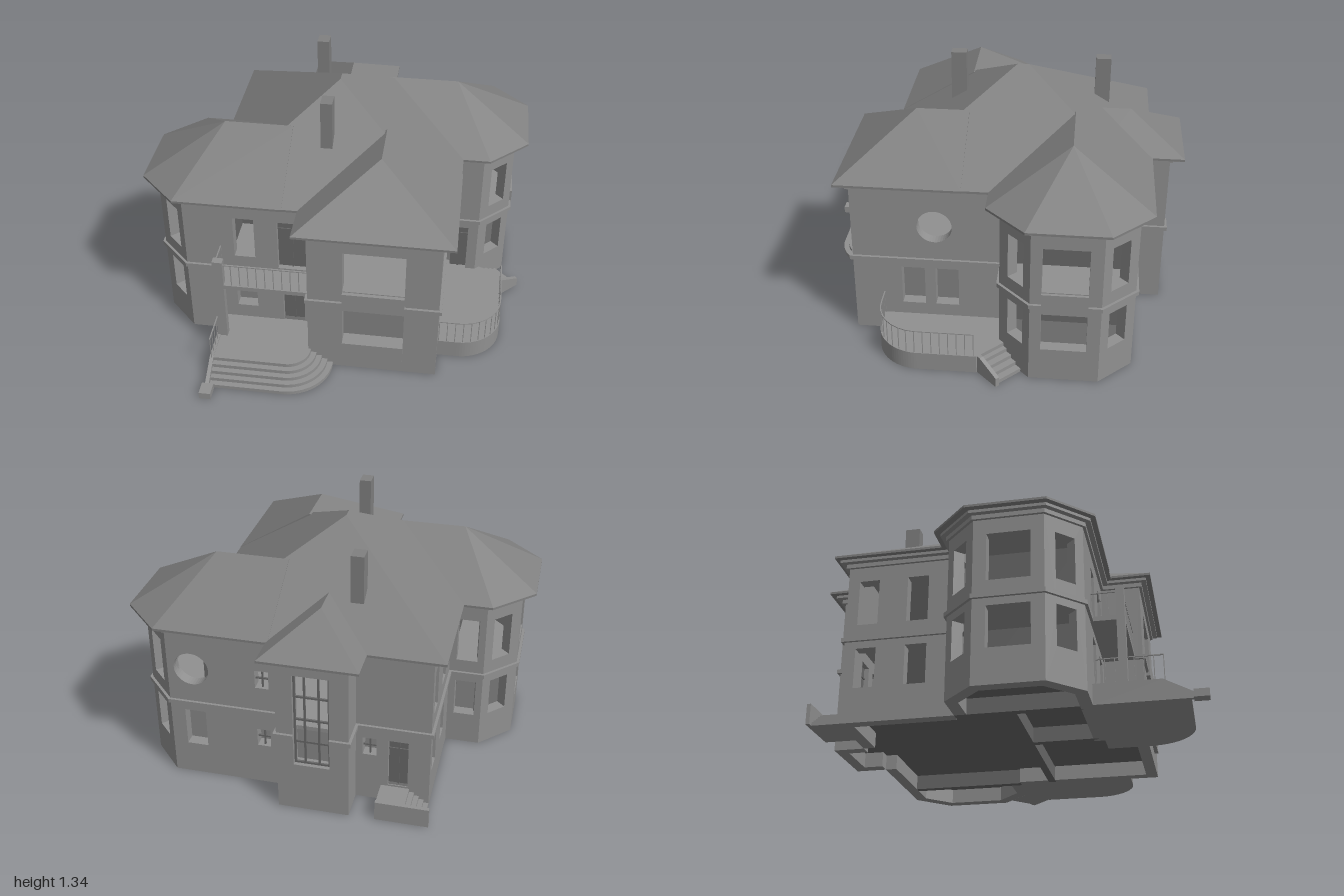
import * as THREE from 'three';
import { ConvexGeometry } from 'three/addons/geometries/ConvexGeometry.js';

const material = color => new THREE.MeshStandardMaterial({ color, flatShading: true, side: THREE.DoubleSide });
const wallMat = material(0x909090), roofMat = material(0x808080), innerMat = material(0x686868);

// Wall outline [x, z], starting at the back right corner and running along the back first
const OUTLINE = [
  [-0.59, -0.77], [-0.215, -0.77], [-0.215, -0.93], [0.145, -0.93], [0.145, -0.77], [0.75, -0.77],
  [0.91, -0.605], [0.91, -0.26], [0.75, -0.1], [0.575, -0.1], [0.575, 0.67], [-0.095, 0.67],
  [-0.095, 0.465], [-0.77, 0.465], [-0.93, 0.305], [-0.93, -0.035], [-0.77, -0.195], [-0.59, -0.195],
];

// Openings per wall: [u0, u1, y0, y1], u measured along the wall; round ones are { u, y, r }
const both = (u0, u1) => [[u0, u1, 0.18, 0.39], [u0, u1, 0.52, 0.765]];
const OPENINGS = {
  0: [[0.11, 0.21, 0.1, 0.37], [0.27, 0.34, 0.27, 0.37]],
  2: [[0.095, 0.275, 0.27, 0.79]],
  4: [{ u: 0.48, y: 0.64, r: 0.09 }, [0.42, 0.53, 0.18, 0.39], [0.08, 0.15, 0.58, 0.68], [0.08, 0.15, 0.23, 0.33]],
  5: both(0.06, 0.175),
  6: both(0.065, 0.29),
  7: both(0.05, 0.163),
  8: [[0.055, 0.165, 0.1, 0.39]],
  9: [[0.4, 0.52, 0.17, 0.39], [0.225, 0.345, 0.17, 0.39], { u: 0.345, y: 0.64, r: 0.09 }],
  10: both(0.175, 0.49),
  12: [...both(0.305, 0.415), [0.035, 0.185, 0.46, 0.76], [0.05, 0.165, 0.1, 0.39]],
  13: both(0.05, 0.163),
  14: both(0.065, 0.275),
  15: both(0.06, 0.175),
  16: both(0.035, 0.145),
  17: [...both(0.15, 0.26), ...both(0.41, 0.52)],
};

function add(parent, name, geometry, mat = wallMat) {
  const mesh = new THREE.Mesh(geometry, mat);
  mesh.name = name;
  parent.add(mesh);
  return mesh;
}

function box(parent, name, x0, x1, y0, y1, z0, z1, mat) {
  const g = new THREE.BoxGeometry(x1 - x0, y1 - y0, z1 - z0);
  add(parent, name, g, mat).position.set((x0 + x1) / 2, (y0 + y1) / 2, (z0 + z1) / 2);
}

const toShape = pts => new THREE.Shape(pts.map(p => new THREE.Vector2(p[0], p[1])));

// Horizontal slab from a plan shape drawn in x, z
function slab(parent, name, shape, y0, y1, mat) {
  const g = new THREE.ExtrudeGeometry(shape, { depth: y1 - y0, bevelEnabled: false, curveSegments: 12 });
  add(parent, name, g.rotateX(Math.PI / 2).translate(0, y1, 0), mat);
}

// Outline pushed outwards by d with mitred corners
function offset(pts, d) {
  const n = pts.length;
  const normal = (a, b) => {
    const l = Math.hypot(b[0] - a[0], b[1] - a[1]);
    return [(b[1] - a[1]) / l, -(b[0] - a[0]) / l];
  };
  return pts.map((p, i) => {
    const a = normal(pts[(i + n - 1) % n], p), b = normal(p, pts[(i + 1) % n]);
    const k = d / (1 + a[0] * b[0] + a[1] * b[1]);
    return [p[0] + (a[0] + b[0]) * k, p[1] + (a[1] + b[1]) * k];
  });
}

// One wall with its openings, extruded inwards
function wall(parent, a, b, openings) {
  const len = Math.hypot(b[0] - a[0], b[1] - a[1]), H = 0.87;
  const s = toShape([[0, 0], [len, 0], [len, H], [0, H]]);
  for (const o of openings) {
    if (o.r) s.holes.push(new THREE.Path().absarc(o.u, o.y, o.r, 0, Math.PI * 2, true));
    else s.holes.push(new THREE.Path([[o[0], o[2]], [o[0], o[3]], [o[1], o[3]], [o[1], o[2]]].map(p => new THREE.Vector2(...p))));
  }
  const m = add(parent, 'wall', new THREE.ExtrudeGeometry(s, { depth: 0.06, bevelEnabled: false, curveSegments: 20 }));
  m.position.set(a[0], 0, a[1]);
  m.rotation.y = Math.atan2(a[1] - b[1], b[0] - a[0]);
}

// Hipped roof: convex eaves ring and ridge points [x, y, z]
function hipRoof(parent, name, ring, ridge) {
  const pts = ridge.map(p => new THREE.Vector3(...p));
  for (const [x, z] of ring) pts.push(new THREE.Vector3(x, 0.88, z), new THREE.Vector3(x, 0.892, z));
  add(parent, name, new ConvexGeometry(pts), roofMat);
}

// Railing through plan points: thin balusters and a handrail
function railing(parent, name, pts, y0, h) {
  const g = new THREE.Group();
  g.name = name;
  pts.forEach((p, i) => {
    box(g, 'baluster', p.x - 0.002, p.x + 0.002, y0, y0 + h, p.y - 0.002, p.y + 0.002);
    if (!i) return;
    const q = pts[i - 1];
    const r = add(g, 'handrail', new THREE.BoxGeometry(p.distanceTo(q) + 0.003, 0.005, 0.006));
    r.position.set((p.x + q.x) / 2, y0 + h, (p.y + q.y) / 2);
    r.rotation.y = Math.atan2(q.y - p.y, p.x - q.x);
  });
  parent.add(g);
}

// Side wall of a stair: profile [along, y] extruded by its thickness
const cheek = (pts, t) => new THREE.ExtrudeGeometry(toShape(pts), { depth: t, bevelEnabled: false });

export function createModel() {
  const house = new THREE.Group();
  house.name = 'house';

  // Outer walls
  const walls = new THREE.Group();
  walls.name = 'walls';
  house.add(walls);
  OUTLINE.forEach((p, i) => wall(walls, p, OUTLINE[(i + 1) % OUTLINE.length], OPENINGS[i] || []));

  // Raised ground floor, belt course (notched at the stair window) and stepped cornice
  slab(house, 'groundFloor', toShape(offset(OUTLINE, -0.005)), 0.08, 0.1, innerMat);
  const belt = offset(OUTLINE, 0.014);
  belt.splice(3, 0, [-0.12, -0.944], [-0.12, -0.85], [0.06, -0.85], [0.06, -0.944]);
  slab(house, 'beltCourse', toShape(belt), 0.428, 0.45);
  slab(house, 'cornice', toShape(offset(OUTLINE, 0.014)), 0.843, 0.865);
  slab(house, 'soffit', toShape(offset(OUTLINE, 0.04)), 0.865, 0.882);

  // Inner partitions
  box(house, 'partition', -0.59, -0.55, 0, 0.85, -0.195, 0.42, innerMat);
  box(house, 'partition', 0.535, 0.575, 0, 0.85, -0.72, -0.1, innerMat);
  box(house, 'partition', -0.57, 0.55, 0, 0.85, 0.06, 0.1, innerMat);
  box(house, 'partition', -0.135, -0.095, 0, 0.85, 0.08, 0.43, innerMat);

  // Roofs
  hipRoof(house, 'mainRoof', [[-0.655, -0.832], [0.637, -0.832], [0.637, 0.527], [-0.655, 0.527]],
    [[-0.03, 1.283, -0.18], [-0.03, 1.283, -0.122]]);
  hipRoof(house, 'leftWingRoof', [[0.2, -0.835], [0.78, -0.835], [0.98, -0.635], [0.98, -0.235], [0.78, -0.035], [0.2, -0.035]],
    [[0.575, 1.135, -0.435], [0.2, 1.135, -0.435]]);
  hipRoof(house, 'rightWingRoof', [[-0.24, 0.53], [-0.8, 0.53], [-1, 0.33], [-1, -0.065], [-0.8, -0.265], [-0.24, -0.265]],
    [[-0.595, 1.135, 0.133], [-0.24, 1.135, 0.133]]);
  hipRoof(house, 'frontRoof', [[-0.16, 0.735], [0.64, 0.735], [0.64, 0.1], [-0.16, 0.1]],
    [[0.24, 1.135, 0.37], [0.24, 1.135, 0.1]]);
  hipRoof(house, 'backRoof', [[-0.28, -0.998], [0.21, -0.998], [0.21, -0.55], [-0.28, -0.55]],
    [[-0.035, 1.05, -0.72], [-0.035, 1.05, -0.55]]);

  // Chimneys
  box(house, 'chimney', -0.085, -0.025, 1, 1.335, 0.145, 0.225, roofMat);
  box(house, 'chimney', -0.215, -0.15, 0.95, 1.277, -0.605, -0.525, roofMat);

  // Parapets below the wide windows
  box(house, 'parapet', 0.085, 0.4, 0.41, 0.515, 0.66, 0.69);
  box(house, 'parapet', 0.085, 0.4, 0.08, 0.18, 0.66, 0.69);
  box(house, 'parapet', 0.9, 0.925, 0.41, 0.515, -0.54, -0.315);

  // Stair window bars and small window bars
  for (const x of [-0.115, -0.065, 0.005, 0.055]) box(house, 'windowBar', x - 0.005, x + 0.005, 0.27, 0.79, -0.91, -0.9, innerMat);
  for (const y of [0.275, 0.4, 0.53, 0.66, 0.785]) box(house, 'windowBar', -0.12, 0.06, y - 0.005, y + 0.005, -0.91, -0.9, innerMat);
  for (const [x, y] of [[0.26, 0.63], [0.26, 0.28], [-0.285, 0.32]]) {
    box(house, 'windowBar', x - 0.004, x + 0.004, y - 0.05, y + 0.05, -0.755, -0.745, innerMat);
    box(house, 'windowBar', x - 0.035, x + 0.035, y - 0.004, y + 0.004, -0.755, -0.745, innerMat);
  }

  // Doors: leaf with a middle post and a transom
  for (const [x0, x1, y0, y1, z] of [[-0.26, -0.145, 0.1, 0.39, 0.43], [-0.28, -0.13, 0.45, 0.76, 0.43],
    [-0.48, -0.38, 0.1, 0.37, -0.74], [0.605, 0.695, 0.1, 0.39, -0.13]]) {
    const xm = (x0 + x1) / 2;
    box(house, 'doorLeaf', x0, x1, y0, y1, z - 0.005, z + 0.005, innerMat);
    box(house, 'doorPost', xm - 0.004, xm + 0.004, y0, y1, z - 0.011, z + 0.011, innerMat);
    box(house, 'doorTransom', x0, x1, y1 - 0.06, y1 - 0.052, z - 0.011, z + 0.011, innerMat);
  }

  // Front terrace with rounded steps
  for (let i = 0; i < 5; i++) {
    const r = 0.235 - 0.029 * i, s = new THREE.Shape();
    s.moveTo(-0.58, 0.46).lineTo(-0.2 + r, 0.46).lineTo(-0.2 + r, 0.68);
    s.absarc(-0.2, 0.68, r, 0, Math.PI / 2, false).lineTo(-0.58, 0.68 + r);
    slab(house, 'frontStep', s, 0.02 * i, 0.02 * (i + 1));
  }
  const side = add(house, 'stepCheek', cheek([[-0.46, 0], [-0.46, 0.105], [-0.79, 0.105], [-0.93, 0.03], [-0.93, 0]], 0.02));
  side.rotation.y = Math.PI / 2;
  side.position.x = -0.595;
  box(house, 'stepBlock', -0.61, -0.55, 0, 0.038, 0.925, 0.998);
  const v = (x, z) => new THREE.Vector2(x, z);
  const line = (a, b, n) => Array.from({ length: n + 1 }, (_, i) => a.clone().lerp(b, i / n));
  railing(house, 'terraceRailing', line(v(-0.585, 0.48), v(-0.585, 0.8), 7), 0.1, 0.13);

  // Balcony over the front terrace
  box(house, 'balconySlab', -0.59, -0.095, 0.428, 0.452, 0.46, 0.63);
  box(house, 'balconyPost', -0.59, -0.537, 0.1, 0.6, 0.59, 0.63);
  railing(house, 'balconyRailing', line(v(-0.54, 0.622), v(-0.1, 0.622), 10), 0.45, 0.13);
  railing(house, 'balconyRailing', line(v(-0.58, 0.47), v(-0.58, 0.59), 3), 0.45, 0.13);

  // Side terrace with a rounded corner, railing and diagonal steps
  const t = new THREE.Shape();
  t.moveTo(0.57, -0.1).lineTo(0.57, 0.52).lineTo(0.68, 0.52);
  t.absarc(0.68, 0.3, 0.22, Math.PI / 2, 0, true).lineTo(0.9, 0).lineTo(0.775, -0.125);
  slab(house, 'sideTerrace', t, 0, 0.1);
  const edge = new THREE.Path();
  edge.moveTo(0.58, 0.514).lineTo(0.68, 0.514).absarc(0.68, 0.3, 0.214, Math.PI / 2, 0, true).lineTo(0.894, 0.015);
  railing(house, 'sideRailing', edge.getSpacedPoints(17), 0.1, 0.13);
  const steps = new THREE.Group();
  steps.name = 'sideSteps';
  steps.position.set(0.825, 0, -0.06);
  steps.rotation.y = Math.PI / 4;
  house.add(steps);
  for (let i = 0; i < 4; i++) box(steps, 'sideStep', 0.036 * i - 0.02, 0.036 * (i + 1), 0, 0.08 - 0.02 * i, -0.08, 0.08);
  add(steps, 'sideCheek', cheek([[0, 0], [0, 0.1], [0.03, 0.1], [0.157, 0.05], [0.157, 0]], 0.022)).position.z = 0.068;

  // Back door landing, steps and parapet
  box(house, 'backLanding', -0.49, -0.345, 0, 0.09, -0.92, -0.765);
  for (let i = 0; i < 4; i++) box(house, 'backStep', -0.59 + 0.025 * i, -0.48, 0, 0.018 * (i + 1), -0.92, -0.765);
  box(house, 'backParapet', -0.615, -0.345, 0, 0.105, -0.928, -0.908);

  return house;
}
